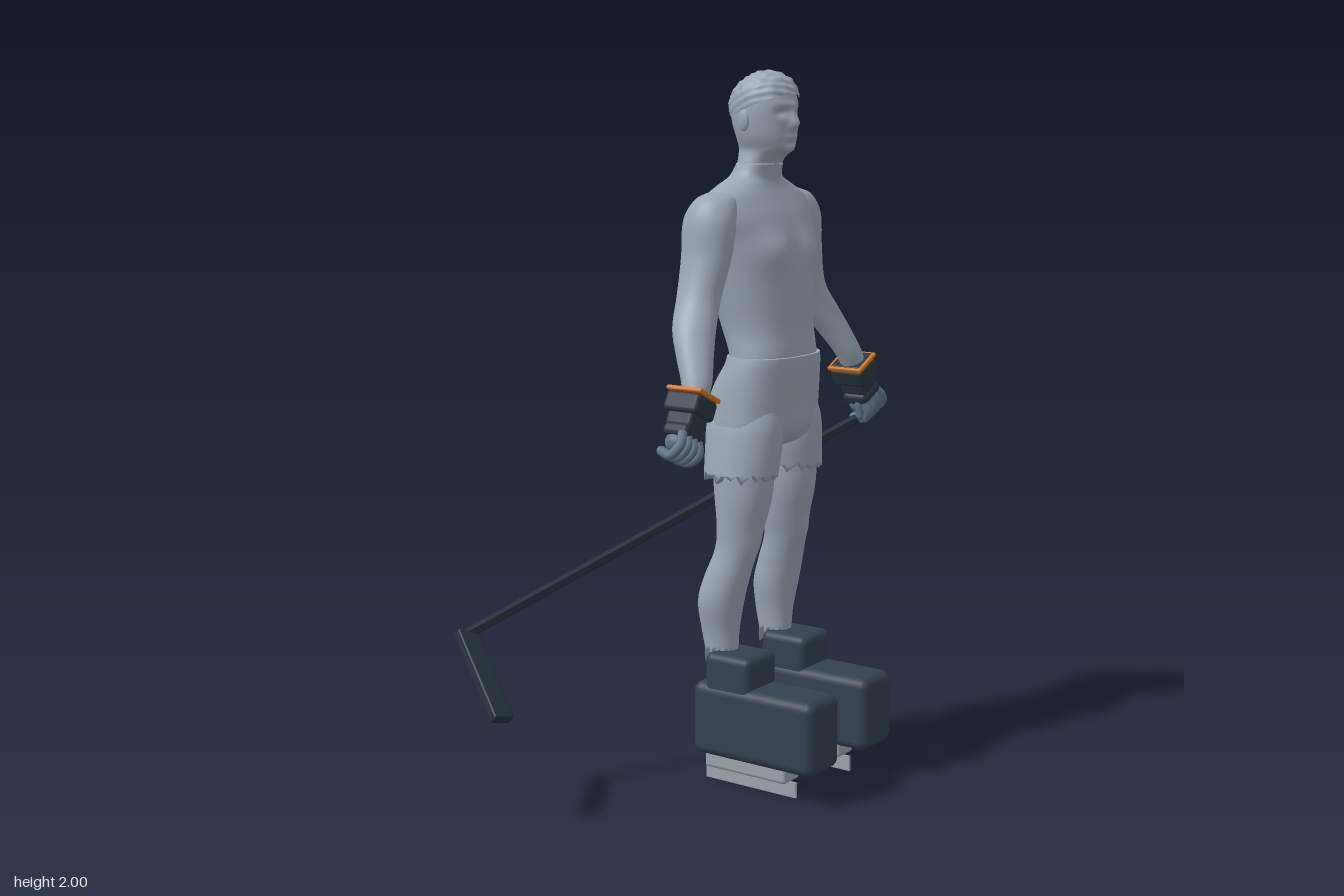
import * as THREE from 'three';
import { RoundedBoxGeometry } from 'three/addons/geometries/RoundedBoxGeometry.js';

const CX = 0.157; // body centre line

const material = (name, color) => {
  const m = new THREE.MeshStandardMaterial({ color });
  m.name = name;
  return m;
};

// Catmull-Rom blend of one column of the section table
const blend = (a, b, c, d, t) =>
  0.5 * (2 * b + (c - a) * t + (2 * a - 5 * b + 4 * c - d) * t * t + (3 * b - a - 3 * c + d) * t ** 3);

// Smooth loft through horizontal sections, top to bottom: [y, offset from centre, half width, z back, z front].
// bumps: [offset, y, side (1 front, -1 back), radius x, radius y, z shift]
function loft(rows, { s = 1, power = 2, bumps = [], jag = 0, seg = 44, sub = 6 } = {}) {
  const rings = [];
  const row = (i) => rows[Math.min(rows.length - 1, Math.max(0, i))];
  for (let i = 0; i < rows.length - 1; i++)
    for (let k = 0; k < sub; k++)
      rings.push(rows[i].map((_, c) => blend(row(i - 1)[c], row(i)[c], row(i + 1)[c], row(i + 2)[c], k / sub)));
  rings.push(rows[rows.length - 1]);
  const cap = ([y, dx, , zb, zf]) => [y, dx, 0, (zb + zf) / 2, (zb + zf) / 2];
  rings.unshift(cap(rings[0]));
  rings.push(cap(rings[rings.length - 1]));

  const pos = [], index = [];
  const round = (v) => Math.sign(v) * Math.abs(v) ** (2 / power);
  rings.forEach(([y, dx, rx, zb, zf], i) => {
    for (let j = 0; j < seg; j++) {
      const a = (j / seg) * Math.PI * 2, sn = Math.sin(a);
      const x = s * dx + rx * round(Math.cos(a));
      let z = (zb + zf) / 2 + ((zf - zb) / 2) * round(sn);
      if (rx > 0)
        for (const [bx, by, side, wx, wy, amount] of bumps)
          if (sn * side > 0)
            z += amount * Math.min(1, Math.abs(sn) * 1.5) * Math.exp(-(((x - bx) / wx) ** 2) - ((y - by) / wy) ** 2);
      const ragged = i === rings.length - 2 ? jag * (Math.sin(j * 2.4) + 0.5 * Math.sin(j * 1.3)) : 0;
      pos.push(CX + x, y + ragged, z);
      if (i < rings.length - 1) {
        const n = (j + 1) % seg, A = i * seg + j, D = i * seg + n;
        index.push(A, D, D + seg, A, D + seg, A + seg);
      }
    }
  });
  const g = new THREE.BufferGeometry();
  g.setAttribute('position', new THREE.Float32BufferAttribute(pos, 3));
  g.setIndex(index);
  g.computeVertexNormals();
  return g;
}

export function createModel() {
  const model = new THREE.Group();
  const skin = material('bodyGrey', 0x9aa6b4);
  const boot = material('bootSlate', 0x334150);
  const dark = material('gloveDark', 0x2b3643);
  const stickMat = material('stickDark', 0x25303c);
  const orange = material('trimOrange', 0xd9771c);
  const hand = material('handBlueGrey', 0x5f7486);
  const steel = material('bladeGrey', 0x9aa3ad);

  const add = (parent, name, geo, mat, x = 0, y = 0, z = 0) => {
    const m = new THREE.Mesh(geo, mat);
    m.name = name;
    m.position.set(x, y, z);
    parent.add(m);
    return m;
  };
  const box = (w, h, d, r) => new RoundedBoxGeometry(w, h, d, 3, r);

  // Torso with chest, belly line, shoulder blades and spine
  add(model, 'torso', loft([
    [1.75, 0, 0.07, 0.02, 0.135], [1.715, 0, 0.088, 0.005, 0.125], [1.69, 0, 0.145, -0.008, 0.13],
    [1.66, 0, 0.2, -0.02, 0.145], [1.61, 0, 0.215, -0.035, 0.172], [1.55, 0, 0.195, -0.042, 0.195],
    [1.48, 0, 0.178, -0.042, 0.212], [1.4, 0, 0.164, -0.034, 0.216], [1.3, 0, 0.147, -0.002, 0.218],
    [1.22, 0, 0.15, 0.03, 0.224], [1.15, 0, 0.155, 0.02, 0.21],
  ], { power: 2.3, bumps: [
    [0.085, 1.52, 1, 0.06, 0.045, 0.015], [-0.085, 1.52, 1, 0.06, 0.045, 0.015],
    [0, 1.5, 1, 0.018, 0.08, -0.008], [0, 1.32, 1, 0.012, 0.1, -0.006],
    [0.09, 1.56, -1, 0.06, 0.07, -0.012], [-0.09, 1.56, -1, 0.06, 0.07, -0.012],
    [0, 1.42, -1, 0.025, 0.2, 0.018],
  ] }), skin);

  // Head with facial relief
  add(model, 'head', loft([
    [1.99, 0, 0.03, 0.065, 0.12], [1.97, 0, 0.066, 0.025, 0.155], [1.94, 0, 0.083, 0.005, 0.178],
    [1.9, 0, 0.087, 0.0, 0.186], [1.86, 0, 0.085, 0.003, 0.186], [1.82, 0, 0.077, 0.015, 0.185],
    [1.79, 0, 0.064, 0.02, 0.18], [1.772, 0, 0.064, 0.02, 0.155], [1.75, 0, 0.07, 0.02, 0.135],
    [1.7, 0, 0.08, 0.005, 0.125],
  ], { seg: 64, power: 2.1, bumps: [
    [0, 1.858, 1, 0.013, 0.018, 0.022], [0, 1.885, 1, 0.009, 0.02, 0.01],
    [0.035, 1.888, 1, 0.018, 0.011, -0.013], [-0.035, 1.888, 1, 0.018, 0.011, -0.013],
    [0, 1.909, 1, 0.05, 0.008, 0.006], [0, 1.822, 1, 0.022, 0.008, 0.007],
    [0, 1.806, 1, 0.03, 0.006, -0.005], [0, 1.785, 1, 0.022, 0.012, 0.005],
  ] }), skin);

  // Short tousled hair, rim higher at the front
  const hairGeo = new THREE.SphereGeometry(1, 56, 30, 0, Math.PI * 2, 0, 1.72);
  const p = hairGeo.attributes.position;
  for (let i = 0; i < p.count; i++) {
    const x = p.getX(i), y = p.getY(i), z = p.getZ(i);
    const k = 1 + 0.035 * Math.sin(x * 13 + 5 * Math.sin(z * 4)) * Math.sin(z * 11 + x * 5) + 0.015 * Math.sin(y * 25 + x * 9);
    p.setXYZ(i, x * 0.093 * k, y * 0.086 * k, z * 0.1 * k);
  }
  hairGeo.computeVertexNormals();
  const hairMesh = add(model, 'hair', hairGeo, skin, CX, 1.913, 0.092);
  hairMesh.rotation.x = -0.38;

  // Shorts: seat and waist
  add(model, 'shortsSeat', loft([
    [1.225, 0, 0.16, 0.028, 0.229], [1.2, 0, 0.166, 0.022, 0.229], [1.15, 0, 0.174, -0.004, 0.226],
    [1.08, 0, 0.181, -0.02, 0.22], [1.02, 0, 0.184, -0.014, 0.212], [0.985, 0, 0.16, 0.01, 0.19],
    [0.965, 0, 0.09, 0.04, 0.15],
  ], { power: 2.4, bumps: [
    [0.085, 1.09, -1, 0.07, 0.06, -0.016], [-0.085, 1.09, -1, 0.07, 0.06, -0.016],
    [0, 1.06, -1, 0.018, 0.08, 0.022], [0, 1.03, 1, 0.05, 0.05, 0.008],
  ] }), skin);

  for (const s of [-1, 1]) {
    const side = s > 0 ? 'left' : 'right';
    const part = (n) => side + n;

    // Shorts leg with ragged hem, then bare leg
    add(model, part('ShortsLeg'), loft([
      [1.08, 0.09, 0.08, -0.005, 0.205], [1.03, 0.098, 0.089, -0.016, 0.212],
      [0.97, 0.102, 0.096, -0.015, 0.21], [0.895, 0.113, 0.097, -0.01, 0.203],
    ], { s, jag: 0.012 }), skin);
    add(model, part('Leg'), loft([
      [1.0, 0.105, 0.08, 0.005, 0.195], [0.85, 0.109, 0.079, 0.018, 0.188], [0.75, 0.115, 0.068, 0.03, 0.166],
      [0.68, 0.123, 0.06, 0.028, 0.15], [0.6, 0.134, 0.064, 0.0, 0.13], [0.53, 0.138, 0.066, -0.018, 0.113],
      [0.45, 0.136, 0.052, -0.012, 0.1], [0.39, 0.135, 0.046, 0.0, 0.096],
    ], { s, jag: 0.03, bumps: [[s * 0.12, 0.7, 1, 0.03, 0.035, 0.008]] }), skin);

    // Arm from shoulder to wrist
    add(model, part('Arm'), loft([
      [1.675, 0.165, 0.035, 0.03, 0.09], [1.655, 0.185, 0.062, 0.005, 0.118], [1.6, 0.208, 0.066, -0.018, 0.135],
      [1.5, 0.225, 0.061, -0.014, 0.13], [1.4, 0.258, 0.06, -0.003, 0.12], [1.32, 0.307, 0.061, 0.02, 0.137],
      [1.25, 0.347, 0.051, 0.06, 0.16], [1.18, 0.38, 0.041, 0.1, 0.18], [1.12, 0.405, 0.032, 0.115, 0.175],
    ], { s }), skin);

    const ear = add(model, part('Ear'), new THREE.SphereGeometry(1, 16, 12), skin, CX + s * 0.086, 1.868, 0.083);
    ear.scale.set(0.009, 0.03, 0.018);

    // Padded glove and fist
    const glove = new THREE.Group();
    glove.name = part('Glove');
    glove.position.set(CX + s * 0.395, 1.155, 0.14);
    glove.rotation.z = s * 0.46;
    model.add(glove);
    add(glove, 'cuffTrim', box(0.1, 0.012, 0.114, 0.004), orange, 0, 0.003, 0);
    add(glove, 'cuffLining', box(0.084, 0.014, 0.096, 0.004), dark, 0, 0.004, 0);
    add(glove, 'cuff', box(0.096, 0.056, 0.11, 0.012), dark, 0, -0.031, 0);
    add(glove, 'wristPad', box(0.076, 0.045, 0.085, 0.012), dark, 0, -0.075, 0);
    add(glove, 'knucklePad', box(0.094, 0.036, 0.08, 0.014), dark, 0, -0.106, 0.004);
    const palm = add(glove, 'palm', new THREE.SphereGeometry(1, 20, 14), hand, 0, -0.135, 0);
    palm.scale.set(0.044, 0.035, 0.038);
    for (let f = 0; f < 4; f++) {
      const x = s * (0.045 - f * 0.027);
      const bend = new THREE.CatmullRomCurve3([
        [x * 0.9, -0.115, 0.03], [x * 1.1, -0.15, 0.04], [x * 1.1, -0.182 + f * 0.003, 0.018], [x, -0.172, -0.018],
      ].map((v) => new THREE.Vector3(...v)));
      add(glove, 'finger' + (f + 1), new THREE.TubeGeometry(bend, 12, 0.0135, 10), hand);
      add(glove, 'fingertip' + (f + 1), new THREE.SphereGeometry(0.0135, 10, 8), hand, x, -0.172, -0.018);
    }
    const thumb = add(glove, 'thumb', new THREE.CapsuleGeometry(0.014, 0.04, 4, 10), hand, -s * 0.042, -0.138, 0.015);
    thumb.rotation.z = -s * 0.25;

    // Skate: boot, ankle, blade holder and blade
    const skate = new THREE.Group();
    skate.name = part('Skate');
    skate.position.x = CX + s * 0.14;
    model.add(skate);
    add(skate, 'bootFoot', box(0.154, 0.212, 0.405, 0.028), boot, 0, 0.198, 0.202);
    add(skate, 'bootAnkle', box(0.144, 0.19, 0.154, 0.022), boot, 0, 0.298, 0.116);
    add(skate, 'bladeHolder', box(0.08, 0.055, 0.275, 0.01), steel, 0, 0.073, 0.157);
    add(skate, 'blade', new THREE.BoxGeometry(0.008, 0.044, 0.308), steel, 0, 0.022, 0.154);
  }

  // Stick: shaft and blade as bars between two points
  const bar = (name, a, b, w, t, ref) => {
    const A = new THREE.Vector3(...a), B = new THREE.Vector3(...b);
    const y = B.clone().sub(A), len = y.length();
    y.normalize();
    const x = new THREE.Vector3(...ref).addScaledVector(y, -y.dot(new THREE.Vector3(...ref))).normalize();
    const m = add(model, name, box(w, len, t, 0.006), stickMat);
    m.quaternion.setFromRotationMatrix(new THREE.Matrix4().makeBasis(x, y, x.clone().cross(y)));
    m.position.copy(A.add(B).multiplyScalar(0.5));
  };
  bar('stickShaft', [0.635, 1.0, 0.157], [-0.575, 0.488, -0.388], 0.026, 0.026, [0, 1, 0]);
  bar('stickBlade', [-0.565, 0.498, -0.392], [-0.655, 0.31, -0.178], 0.062, 0.03, [1, 0, 0]);

  return model;
}
